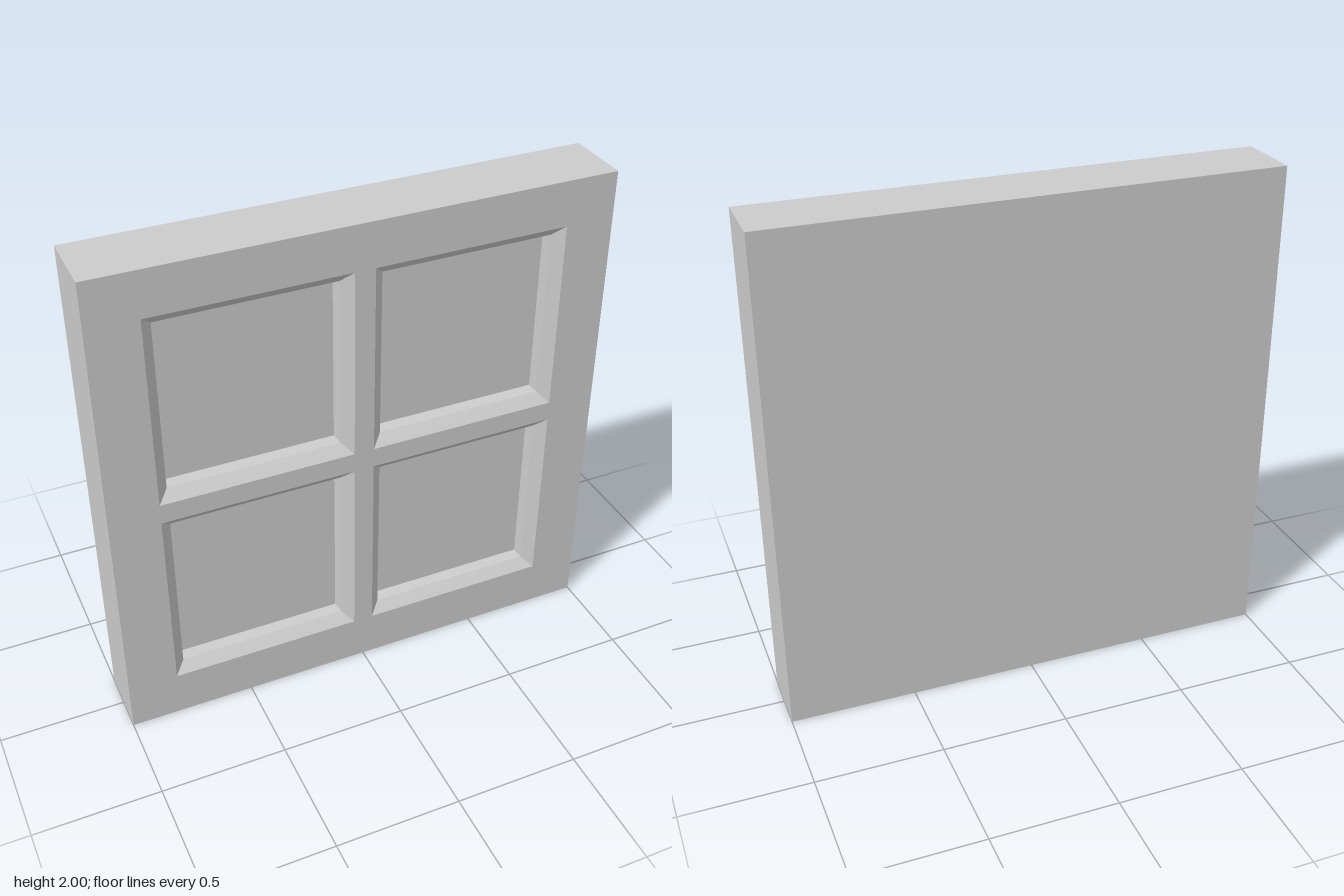
import * as THREE from 'three';

const FRONT = 0.135, BACK = -0.135;

// Rectangle corners, counter-clockwise seen from +z
const rect = (cx, cy, w, h, z) => [[-1, -1], [1, -1], [1, 1], [-1, 1]]
  .map(([sx, sy]) => [cx + sx * w / 2, cy + sy * h / 2, z]);

// Flat walls joining successive rectangles, with an optional cap on the last one
function loft(rings, cap) {
  const pos = [];
  const quad = (a, b, c, d) => pos.push(...a, ...b, ...c, ...a, ...c, ...d);
  for (let r = 0; r + 1 < rings.length; r++) {
    for (let i = 0; i < 4; i++) {
      const j = (i + 1) % 4;
      quad(rings[r][i], rings[r][j], rings[r + 1][j], rings[r + 1][i]);
    }
  }
  if (cap) quad(...rings[rings.length - 1]);
  const geo = new THREE.BufferGeometry();
  geo.setAttribute('position', new THREE.Float32BufferAttribute(pos, 3));
  geo.computeVertexNormals();
  return geo;
}

export function createModel() {
  const group = new THREE.Group();
  const mat = new THREE.MeshStandardMaterial({ color: 0xcccccc, flatShading: true });
  const add = (name, geo) => {
    const mesh = new THREE.Mesh(geo, mat);
    mesh.name = name;
    group.add(mesh);
    return mesh;
  };

  // Outer edges and flat back
  add('outerEdges', loft([rect(0, 1, 2, 2, BACK), rect(0, 1, 2, 2, FRONT)], false));
  const back = add('backPanel', new THREE.PlaneGeometry(2, 2));
  back.position.set(0, 1, BACK);
  back.rotation.y = Math.PI;

  // Front frame with four openings, each holding a recessed pane
  const face = new THREE.Shape(rect(0, 1, 2, 2, 0).map(([x, y]) => new THREE.Vector2(x, y)));
  const w = 0.765, h = 0.773;
  // Recess profile: [inset, depth] for the chamfer, then the steeper wall
  const profile = [[0, 0], [0.042, 0.038], [0.05, 0.08]];
  for (const cy of [0.578, 1.432]) {
    for (const cx of [-0.4225, 0.4225]) {
      face.holes.push(new THREE.Path(
        rect(cx, cy, w, h, 0).reverse().map(([x, y]) => new THREE.Vector2(x, y))));
      const rings = profile.map(([inset, depth]) =>
        rect(cx, cy, w - 2 * inset, h - 2 * inset, FRONT - depth));
      add('recessedPane', loft(rings, true));
    }
  }
  add('frontFrame', new THREE.ShapeGeometry(face)).position.z = FRONT;

  return group;
}
